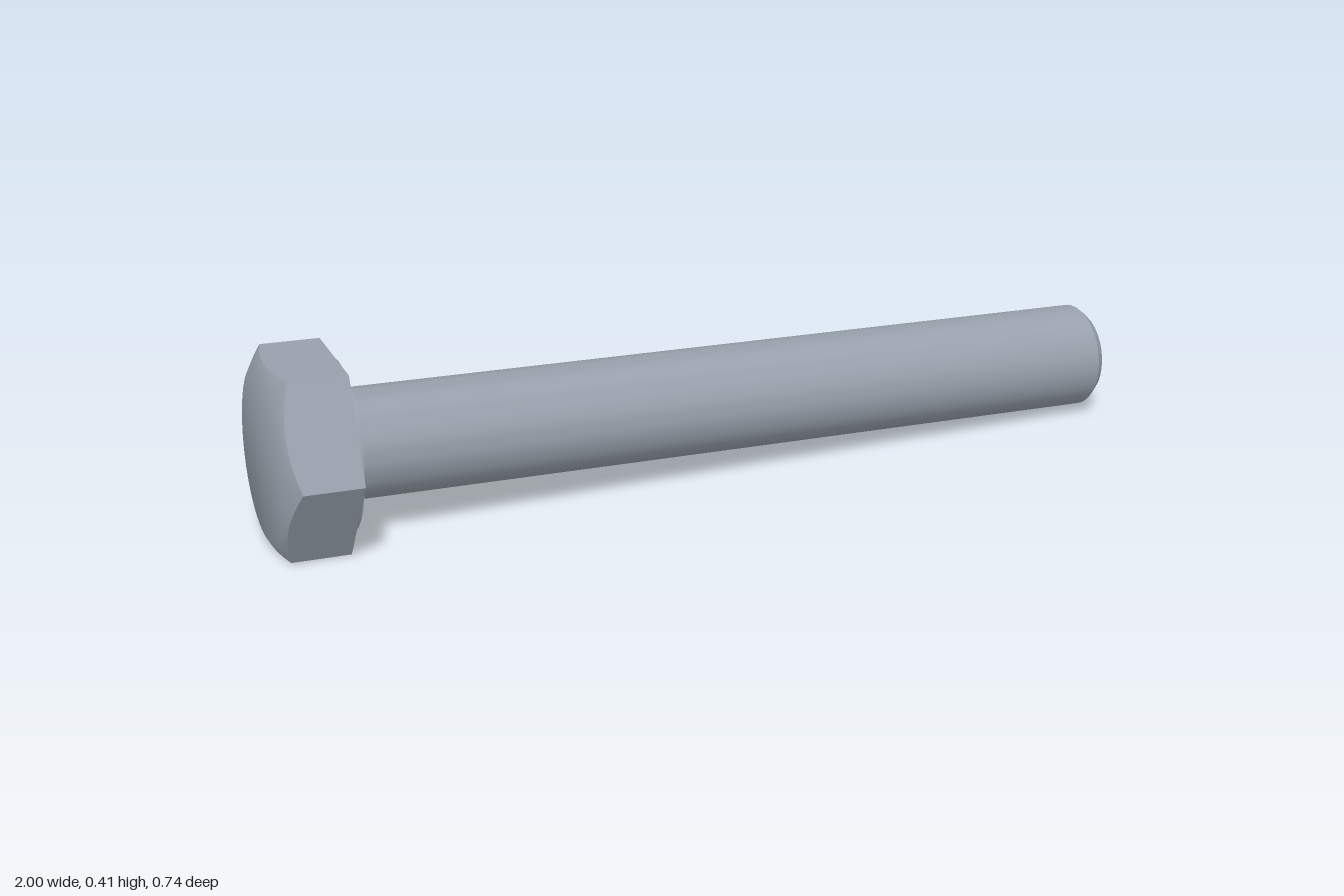
import * as THREE from 'three';
import { toCreasedNormals } from 'three/addons/utils/BufferGeometryUtils.js';

const v2 = (x, y) => new THREE.Vector2(x, y);

export function createModel() {
  const steel = new THREE.MeshStandardMaterial({ color: 0x98a1ac });
  steel.name = 'steel';

  const bolt = new THREE.Group();
  bolt.name = 'bolt';
  const add = (name, geometry) => {
    const mesh = new THREE.Mesh(toCreasedNormals(geometry, 0.62), steel);
    mesh.name = name;
    bolt.add(mesh);
  };

  // Hex head: a turned blank whose rim is pushed out to a hexagon,
  // with a 30 degree cone chamfer on the outer face
  const flat = 0.2, faceR = 0.185, headH = 0.155;
  const head = new THREE.LatheGeometry(
    [v2(0, -headH), v2(faceR, -headH), v2(flat, -0.14), v2(flat, 0), v2(0, 0)], 48);
  const pos = head.attributes.position;
  for (let i = 0; i < pos.count; i++) {
    const x = pos.getX(i), z = pos.getZ(i), y = pos.getY(i);
    if (Math.hypot(x, z) < flat - 0.001) continue;
    const a = Math.atan2(x, z), sector = Math.PI / 3;
    const r = flat / Math.cos(a - Math.round(a / sector) * sector);
    const top = -headH + (r - faceR) * Math.tan(Math.PI / 6);
    pos.setXYZ(i, r * Math.sin(a), y < -0.01 ? top : 0, r * Math.cos(a));
  }
  add('hexHead', head);

  // Raised bearing ring under the head
  const ringH = 0.01;
  add('bearingRing', new THREE.LatheGeometry(
    [v2(0.188, 0), v2(0.188, ringH), v2(0.1, ringH)], 32));

  // Shank with a root fillet and a chamfered tip
  const root = new THREE.Vector3(-0.814, 0.2, -0.12);
  const tip = new THREE.Vector3(0.978, 0.122, 0.257);
  const length = root.distanceTo(tip);
  const R = 0.119, fillet = 0.02;
  const profile = [];
  for (let i = 0; i <= 4; i++) {
    const t = (i / 4) * Math.PI / 2;
    profile.push(v2(R + fillet * (1 - Math.sin(t)), ringH + fillet * (1 - Math.cos(t))));
  }
  profile.push(v2(R, length - 0.02), v2(0.102, length), v2(0, length));
  add('shank', new THREE.LatheGeometry(profile, 32));

  // Lay the bolt along its axis, resting on the head and the tip
  const axis = tip.clone().sub(root).normalize();
  const side = new THREE.Vector3(axis.z, 0, -axis.x).normalize();
  const up = side.clone().cross(axis);
  bolt.quaternion.setFromRotationMatrix(new THREE.Matrix4().makeBasis(side, axis, up));
  bolt.position.copy(root);

  const model = new THREE.Group();
  model.name = 'hexBolt';
  model.add(bolt);
  return model;
}
